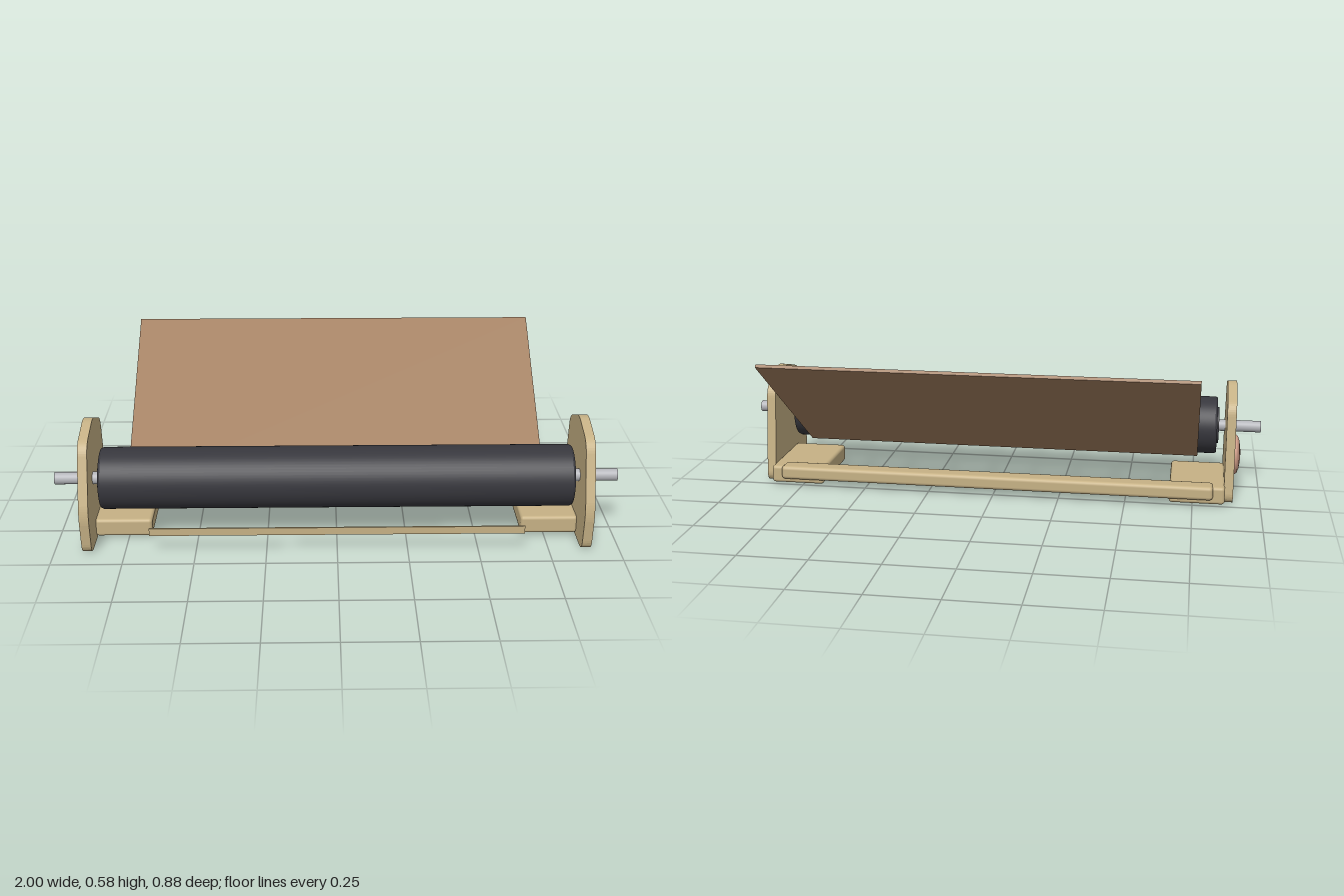
import * as THREE from 'three';
import { RoundedBoxGeometry } from 'three/addons/geometries/RoundedBoxGeometry.js';

const mat = (name, color) => {
  const m = new THREE.MeshStandardMaterial({ color });
  m.name = name;
  return m;
};

export function createModel() {
  const group = new THREE.Group();
  const tan = mat('tan enamel', 0xc6b185);
  const rubber = mat('black rubber', 0x37373d);
  const steel = mat('steel', 0xb4b5ba);
  const board = mat('brown board', 0xa07c5c);
  const copper = mat('copper', 0xd09d88);

  const add = (name, geometry, material, x = 0, y = 0, z = 0) => {
    const mesh = new THREE.Mesh(geometry, material);
    mesh.name = name;
    mesh.position.set(x, y, z);
    group.add(mesh);
    return mesh;
  };
  // solid of revolution along x, profile points are [radius, x]
  const turned = (points) =>
    new THREE.LatheGeometry(points.map(([r, h]) => new THREE.Vector2(r, h)), 48).rotateZ(-Math.PI / 2);

  // roller and its axle
  const axisY = 0.233, axisZ = 0.29;
  add('axle', new THREE.CylinderGeometry(0.022, 0.022, 2, 32).rotateZ(Math.PI / 2), steel, 0, axisY, axisZ);
  add('roller', new THREE.CylinderGeometry(0.11, 0.11, 1.65, 64).rotateZ(Math.PI / 2), rubber, 0, axisY, axisZ);
  for (const s of [-1, 1]) {
    add('rollerRim', new THREE.CylinderGeometry(s > 0 ? 0.11 : 0.106, s > 0 ? 0.106 : 0.11, 0.008, 64)
      .rotateZ(Math.PI / 2), rubber, s * 0.829, axisY, axisZ);
    add('rollerHub', new THREE.CylinderGeometry(0.07, 0.07, 0.02, 48).rotateZ(Math.PI / 2),
      rubber, s * 0.83, axisY, axisZ);
  }

  // side plate outline, drawn as (z, y) with rounded corners
  const outline = new THREE.Shape();
  outline.moveTo(0.06, 0);
  outline.lineTo(0.39, 0);
  outline.quadraticCurveTo(0.427, 0.002, 0.431, 0.04);
  outline.lineTo(0.439, 0.12);
  outline.quadraticCurveTo(0.441, 0.155, 0.43, 0.19);
  outline.lineTo(0.373, 0.355);
  outline.quadraticCurveTo(0.36, 0.39, 0.325, 0.401);
  outline.lineTo(0.245, 0.423);
  outline.quadraticCurveTo(0.215, 0.432, 0.185, 0.421);
  outline.lineTo(0.095, 0.383);
  outline.quadraticCurveTo(0.064, 0.368, 0.06, 0.33);
  outline.lineTo(0.026, 0.04);
  outline.quadraticCurveTo(0.024, 0.006, 0.06, 0);
  const plate = new THREE.ExtrudeGeometry(outline, { depth: 0.034, bevelEnabled: false, curveSegments: 8 })
    .translate(0, 0, -0.017).rotateY(-Math.PI / 2);

  // domed side knob
  const knob = turned([[0.075, 0], [0.075, 0.008], [0.07, 0.014], [0.054, 0.02], [0.03, 0.024], [0, 0.026]]);

  for (const s of [-1, 1]) {
    add('sidePlate', plate, tan, s * 0.882, 0, 0);
    const k = add('sideKnob', knob, copper, s * 0.898, 0.15, 0.183);
    if (s < 0) k.rotation.y = Math.PI;
    add('baseArm', new RoundedBoxGeometry(0.205, 0.066, 0.326, 3, 0.012), tan, s * 0.766, 0.043, 0.151);
  }

  // rear rail and thin front strip
  add('rearRail', new RoundedBoxGeometry(1.65, 0.052, 0.075, 3, 0.014), tan, 0, 0.056, 0.004);
  add('frontStrip', new THREE.BoxGeometry(1.32, 0.028, 0.006), tan, 0, 0.086, 0.425);

  // sloping rest behind the roller
  const top = new THREE.Vector2(-0.434, 0.576), low = new THREE.Vector2(0.195, 0.139);
  const rest = add('sheetRest', new THREE.BoxGeometry(1.525, 0.012, top.distanceTo(low)), board,
    0, (top.y + low.y) / 2, (top.x + low.x) / 2);
  rest.rotation.x = Math.atan2(top.y - low.y, low.x - top.x);

  return group;
}
